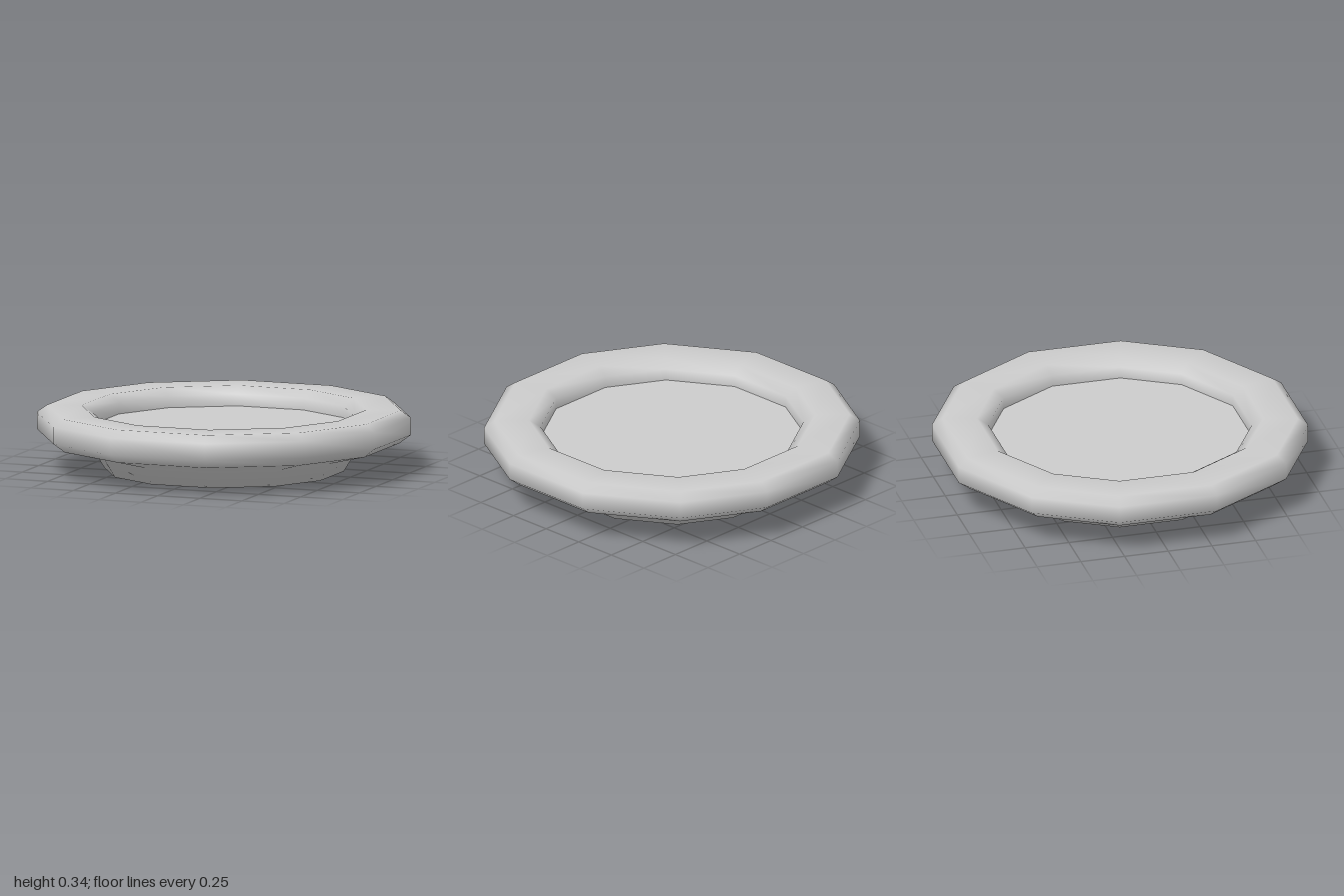
import * as THREE from 'three';

const SIDES = 12;
const CORNER = 1.038; // corner radius of the outline when its flats lie at 1
const DEG = Math.PI / 180;
const SKEW = [0.6, 1.6, -0.6]; // small turn of each corner, repeated every quarter

// Twelve-sided turned form; the profile gives distance to the flat sides and height.
function turned(name, profile, material) {
  const points = profile.map(([d, y]) => new THREE.Vector2(d * CORNER, y));
  const geometry = new THREE.LatheGeometry(points, SIDES, 15 * DEG, Math.PI * 2);
  const { position, normal } = geometry.attributes;
  const up = new THREE.Vector3(0, 1, 0);
  const v = new THREE.Vector3();
  for (let i = 0; i < position.count; i++) {
    const angle = SKEW[Math.floor(i / points.length) % 3] * DEG;
    for (const attribute of [position, normal]) {
      v.fromBufferAttribute(attribute, i).applyAxisAngle(up, angle);
      attribute.setXYZ(i, v.x, v.y, v.z);
    }
  }
  const mesh = new THREE.Mesh(geometry, material);
  mesh.name = name;
  return mesh;
}

export function createModel() {
  const group = new THREE.Group();
  group.name = 'dish';
  const grey = new THREE.MeshStandardMaterial({ color: 0xcccccc });

  // Foot, flared underside and rounded rim in one smooth skin
  group.add(turned('dishBody', [
    [0, 0], [0.64, 0], [0.7, 0.1], [0.935, 0.16],
    [1, 0.21], [1, 0.305], [0.945, 0.345],
    [0.76, 0.345], [0.7, 0.305], [0.7, 0.24],
  ], grey));

  // Flat floor set below the rim
  group.add(turned('dishFloor', [[0.7, 0.24], [0, 0.24]], grey));

  return group;
}
